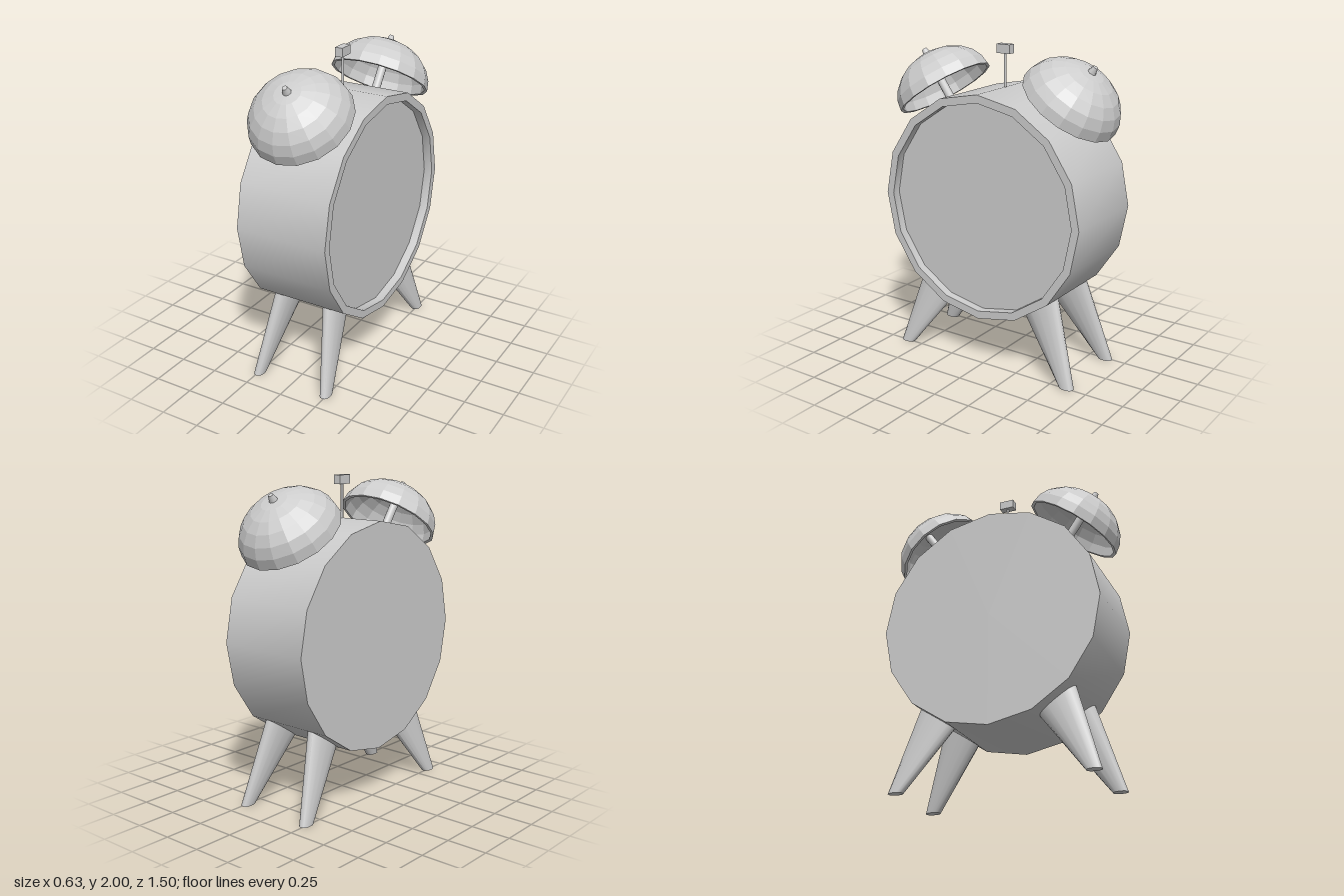
import * as THREE from 'three';
import { toCreasedNormals } from 'three/addons/utils/BufferGeometryUtils.js';

const metal = new THREE.MeshStandardMaterial({ color: 0xcccccc });
metal.name = 'grey metal';

const CENTRE_Y = 1.033;
const TILT = THREE.MathUtils.degToRad(35);

function part(name, geometry, parent) {
  const mesh = new THREE.Mesh(geometry, metal);
  mesh.name = name;
  parent.add(mesh);
  return mesh;
}

// Revolve [radius, height] pairs; edges sharper than the crease stay hard
function lathe(pairs, crease) {
  const points = pairs.map(([r, h]) => new THREE.Vector2(r, h));
  return toCreasedNormals(new THREE.LatheGeometry(points, 16), crease);
}

// Hollow bell shell: inner dome down to the rim, then outer dome up
function bellGeometry() {
  const steps = 6, pairs = [];
  const dome = (r, h, i) => {
    const a = (i / steps) * Math.PI / 2;
    return [i === steps ? 0 : r * Math.cos(a), h * Math.sin(a)];
  };
  for (let i = steps; i >= 0; i--) pairs.push(dome(0.298, 0.232, i));
  for (let i = 0; i <= steps; i++) pairs.push(dome(0.317, 0.25, i));
  return lathe(pairs, 0.01);
}

// Tapered leg: oval foot on the ground blending to a tilted oval at the body
function legGeometry(sx, sz) {
  const sides = 16, pos = [];
  const foot = { x: 0.243, y: 0, z: 0.613, rx: 0.032, hy: 0, hz: 0.047 };
  const top = { x: 0.172, y: 0.455, z: 0.388, rx: 0.045, hy: 0.077, hz: 0.113 };
  const soften = (v) => Math.sign(v) * Math.abs(v) ** 0.85;
  const at = (i, t) => {
    const a = sx * sz * (i / sides) * Math.PI * 2;
    const c = soften(Math.cos(a)), s = soften(Math.sin(a));
    const mix = (k) => foot[k] + (top[k] - foot[k]) * t;
    return [sx * (mix('x') + mix('rx') * c), mix('y') + mix('hy') * s, sz * (mix('z') + mix('hz') * s)];
  };
  const centre = [sx * foot.x, foot.y, sz * foot.z];
  const end = 1.12; // sinks slightly into the body
  for (let i = 0; i < sides; i++) {
    const b0 = at(i, 0), b1 = at(i + 1, 0), t0 = at(i, end), t1 = at(i + 1, end);
    pos.push(...b0, ...t0, ...b1, ...b1, ...t0, ...t1, ...centre, ...b0, ...b1);
  }
  const geometry = new THREE.BufferGeometry();
  geometry.setAttribute('position', new THREE.Float32BufferAttribute(pos, 3));
  return toCreasedNormals(geometry, 0.9);
}

export function createModel() {
  const model = new THREE.Group();
  model.name = 'alarmClock';

  // Drum body lying along x, with a raised rim around the dial on +x
  const body = lathe([
    [0, -0.3], [0.707, -0.3], [0.707, 0.3], [0.657, 0.3], [0.657, 0.245], [0, 0.245],
  ], 0.6);
  body.rotateZ(-Math.PI / 2);
  part('body', body, model).position.y = CENTRE_Y;

  // Two bells tilted away from the centre
  for (const sz of [1, -1]) {
    const bell = new THREE.Group();
    bell.name = sz > 0 ? 'frontBell' : 'backBell';
    bell.position.y = CENTRE_Y;
    bell.rotation.x = sz * TILT;
    part('bellDome', bellGeometry(), bell).position.y = 0.793;
    part('bellStem', new THREE.CylinderGeometry(0.027, 0.027, 0.36, 12), bell).position.y = 0.85;
    part('bellKnob', new THREE.CylinderGeometry(0.016, 0.028, 0.045, 8), bell).position.y = 1.057;
    model.add(bell);
  }

  // Hammer between the bells
  part('hammerRod', new THREE.CylinderGeometry(0.008, 0.008, 0.25, 10), model).position.y = 1.835;
  part('hammerHead', new THREE.BoxGeometry(0.05, 0.055, 0.094), model).position.y = 1.9725;

  // Four splayed legs
  for (const sx of [1, -1]) {
    for (const sz of [1, -1]) {
      part((sz > 0 ? 'front' : 'back') + (sx > 0 ? 'Left' : 'Right') + 'Leg', legGeometry(sx, sz), model);
    }
  }
  return model;
}
